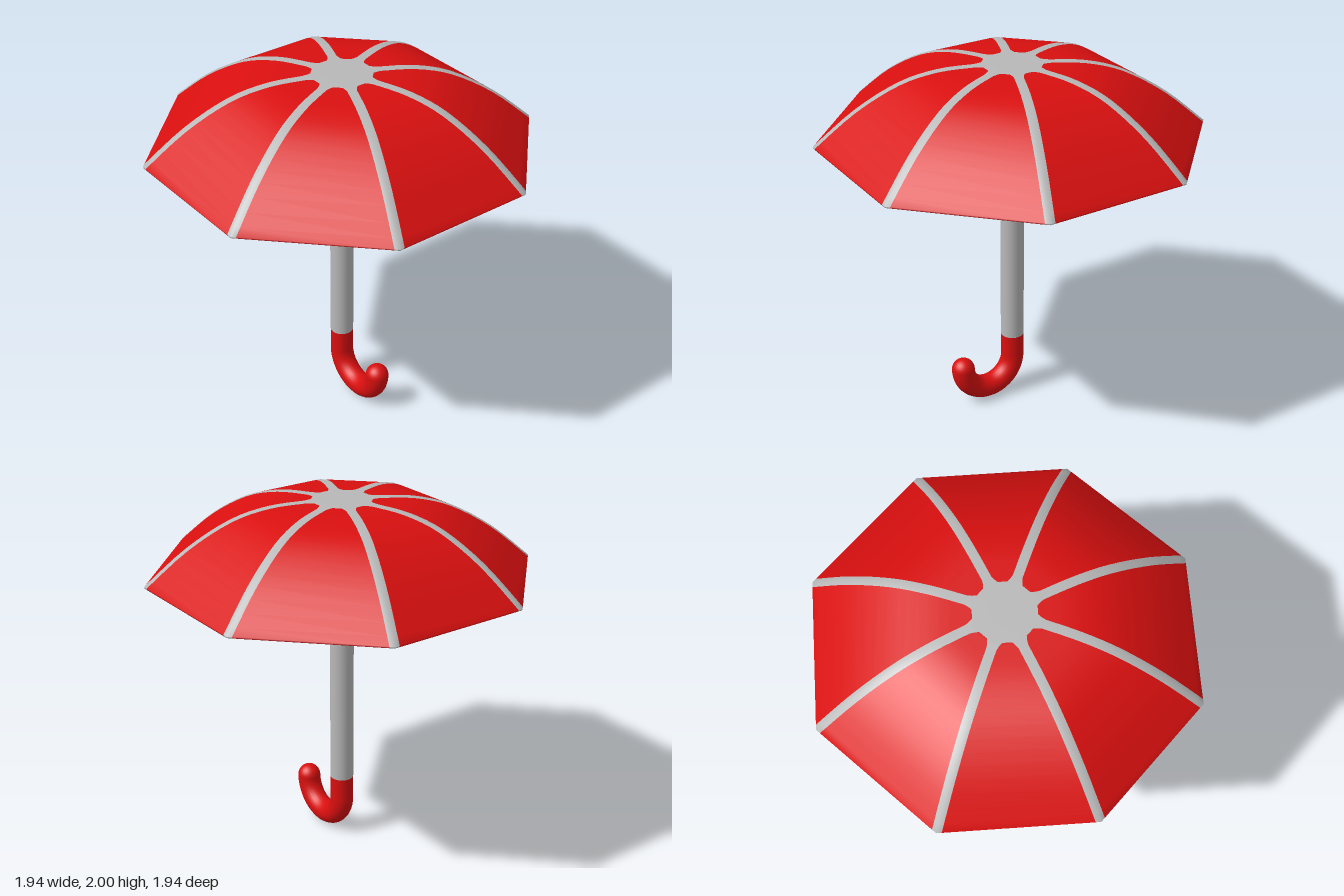
import * as THREE from 'three';

const red = new THREE.MeshStandardMaterial({ color: 0xd90f0f });
red.name = 'red';
const grey = new THREE.MeshStandardMaterial({ color: 0xb8b8b8 });
grey.name = 'grey';

const SIDES = 8;
const HUB = 0.173; // corner radius of the hub patch

// Closed canopy shell: eight flat-sided panels, ribs at the corners, hub in the middle
function canopyGeometry() {
  const curve = new THREE.SplineCurve([
    [0.21, 1.998], [0.4, 1.983], [0.6, 1.925], [0.83, 1.79], [1.05, 1.605],
  ].map(([r, y]) => new THREE.Vector2(r, y)));
  const outer = [[0, 2], [0.08, 2], [HUB, 2], [0.19, 1.999]]
    .concat(curve.getPoints(16).map((p) => [p.x, p.y]));
  const inner = outer.map(([r, y]) => [r * 0.985, y - 0.018]).reverse();
  inner[0] = [1.032, 1.6];
  const rows = [...outer, [1.047, 1.596], ...inner];

  // rib half width, flaring where it meets the hub
  const ribHalf = (r) => (r < 0.18 ? 0.042 : r < 0.2 ? 0.033 : 0.027);
  const corner = (k, r, y) => {
    const a = ((k + 0.5) / SIDES) * Math.PI * 2;
    return new THREE.Vector3(r * Math.cos(a), y, r * Math.sin(a));
  };
  const positions = [];
  for (const [r, y] of rows) {
    const edge = 2 * r * Math.sin(Math.PI / SIDES);
    const t = r > 0 ? Math.min(ribHalf(r) / edge, 0.34) : 0;
    for (let k = 0; k < SIDES; k++) {
      const a = corner(k, r, y);
      const b = corner(k + 1, r, y);
      for (const s of [0, t, 1 - t]) positions.push(...a.clone().lerp(b, s).toArray());
    }
  }

  const cols = SIDES * 3;
  const redFaces = [];
  const greyFaces = [];
  for (let i = 0; i < rows.length - 1; i++) {
    const inHub = Math.max(rows[i][0], rows[i + 1][0]) <= HUB + 0.001;
    for (let j = 0; j < cols; j++) {
      const n = (j + 1) % cols;
      const [a, b, c, d] = [i * cols + j, i * cols + n, (i + 1) * cols + j, (i + 1) * cols + n];
      const list = !inHub && j % 3 === 1 ? redFaces : greyFaces;
      if (rows[i][0] > 0) list.push(a, b, c);
      if (rows[i + 1][0] > 0) list.push(b, d, c);
      if (rows[i + 1][0] === 0) continue;
    }
  }
  const geo = new THREE.BufferGeometry();
  geo.setAttribute('position', new THREE.Float32BufferAttribute(positions, 3));
  geo.setIndex([...redFaces, ...greyFaces]);
  geo.addGroup(0, redFaces.length, 0);
  geo.addGroup(redFaces.length, greyFaces.length, 1);
  geo.computeVertexNormals();
  return geo;
}

// Path of the handle: short straight grip, then a half circle
class HookCurve extends THREE.Curve {
  constructor(top, centreY, radius) {
    super();
    Object.assign(this, { top, centreY, radius });
  }
  getPoint(t, target = new THREE.Vector3()) {
    const straight = this.top - this.centreY;
    const s = t * (straight + Math.PI * this.radius);
    if (s < straight) return target.set(0, this.top - s, 0);
    const a = (s - straight) / this.radius;
    return target.set(
      this.radius * (1 - Math.cos(a)), this.centreY - this.radius * Math.sin(a), 0);
  }
}

export function createModel() {
  const model = new THREE.Group();
  model.name = 'umbrella';
  const add = (name, geometry, material, x = 0, y = 0, z = 0) => {
    const mesh = new THREE.Mesh(geometry, material);
    mesh.name = name;
    mesh.position.set(x, y, z);
    model.add(mesh);
  };

  const tube = 0.065;
  const bend = 0.163;
  const bendY = tube + bend;
  const gripTop = 0.365;
  const poleTop = 1.985;

  add('canopy', canopyGeometry(), [red, grey]);

  // Shaft and hooked handle
  add('pole', new THREE.CylinderGeometry(tube, tube, poleTop - gripTop, 32), grey,
    0, (poleTop + gripTop) / 2);
  add('handle', new THREE.TubeGeometry(new HookCurve(gripTop, bendY, bend), 48, tube, 24), red);
  add('handleTip', new THREE.SphereGeometry(tube, 24, 8, 0, Math.PI * 2, 0, Math.PI / 2), red,
    bend * 2, bendY);

  return model;
}
